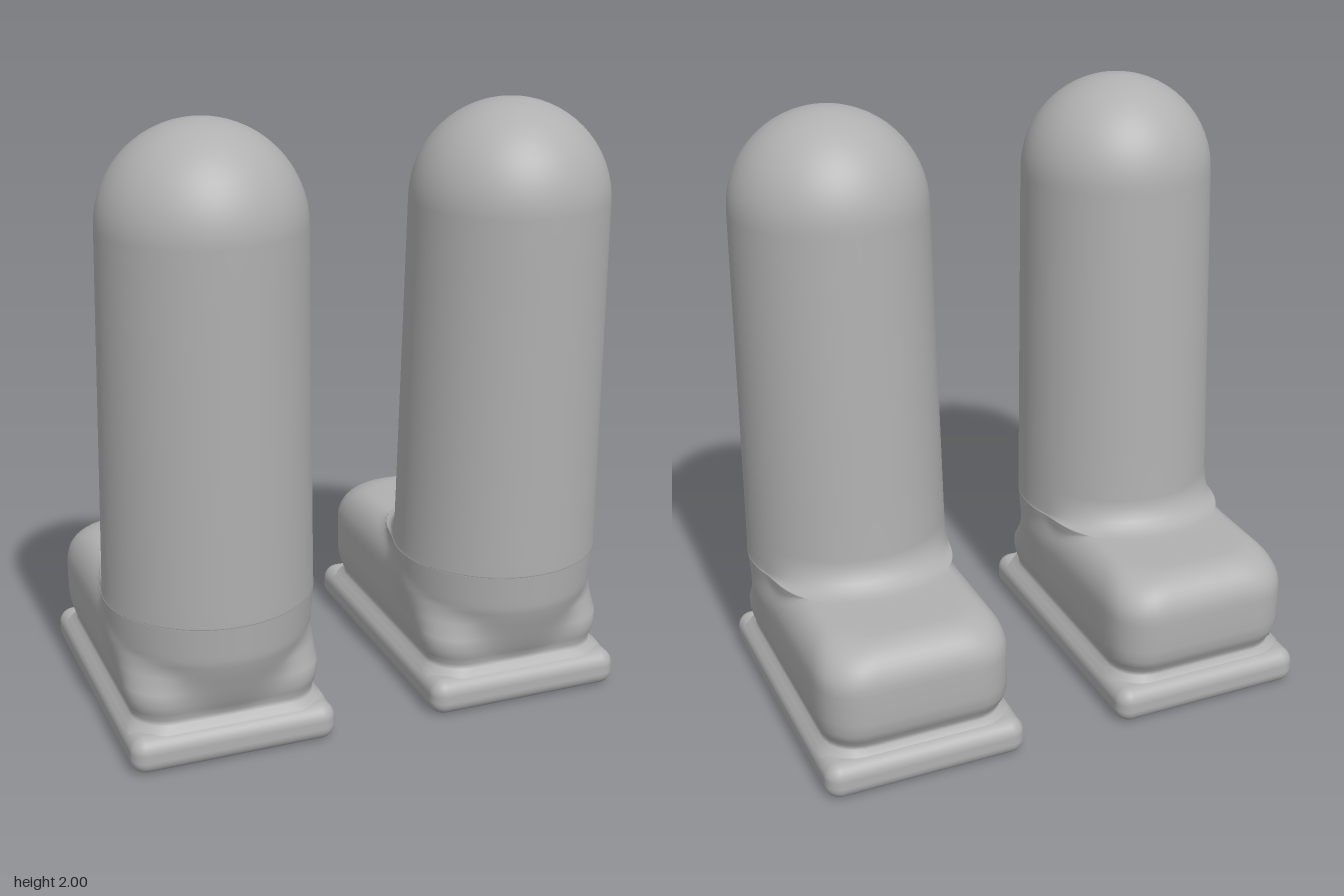
import * as THREE from 'three';
import { RoundedBoxGeometry } from 'three/addons/geometries/RoundedBoxGeometry.js';

const SIDES = 160;

// Signed distance to a section: round leg blended with a rounded foot rectangle
function sectionDistance(x, z, s) {
  const leg = Math.hypot(x, z - s.cz) - s.r;
  if (!s.foot) return leg;
  const { front, heel, hw, cr } = s.foot;
  const qx = Math.abs(x) - hw + cr;
  const qz = Math.abs(z - (front + heel) / 2) - (heel - front) / 2 + cr;
  const foot = Math.hypot(Math.max(qx, 0), Math.max(qz, 0)) + Math.min(Math.max(qx, qz), 0) - cr;
  const k = 0.04, h = Math.max(k - Math.abs(leg - foot), 0) / k;
  return Math.min(leg, foot) - h * h * k / 4;
}

// Distance from the leg axis to the section outline at one angle
function outlineRadius(angle, s) {
  const sx = Math.sin(angle), sz = Math.cos(angle);
  let lo = 0, hi = 1.2;
  for (let i = 0; i < 26; i++) {
    const mid = (lo + hi) / 2;
    if (sectionDistance(sx * mid, s.cz + sz * mid, s) < 0) lo = mid; else hi = mid;
  }
  // fillet between the instep and the shin
  const w = THREE.MathUtils.smoothstep(-sz, 0.3, 1);
  return Math.max(lo, s.r + (s.fillet || 0) * w);
}

function bootSections() {
  const list = [];
  const add = (y, cz, r, foot, fillet = 0) =>
    list.push({ y, cz, r, fillet, foot: foot && { front: foot[0], heel: foot[1], hw: foot[2], cr: foot[3] } });

  // welt, heel and foot sides
  add(0.11, 0.2, 0.2, [-0.53, 0.475, 0.33, 0.1]);
  add(0.125, 0.2, 0.2, [-0.52, 0.465, 0.32, 0.11]);
  add(0.14, 0.2, 0.21, [-0.505, 0.447, 0.305, 0.12]);
  add(0.155, 0.2, 0.22, [-0.505, 0.443, 0.302, 0.12]);
  add(0.18, 0.2, 0.245, [-0.523, 0.452, 0.31, 0.12]);
  add(0.21, 0.2, 0.268, [-0.537, 0.46, 0.318, 0.13]);
  add(0.25, 0.2, 0.29, [-0.541, 0.46, 0.322, 0.14]);
  add(0.3, 0.2, 0.31, [-0.541, 0.42, 0.323, 0.14]);
  add(0.35, 0.2, 0.328, [-0.541, 0.36, 0.323, 0.14]);

  // rounded top edge of the toe
  for (let i = 1; i <= 10; i++) {
    const a = i / 10 * Math.PI / 2;
    const y = 0.355 + 0.133 * Math.sin(a), d = 0.13 * (1 - Math.cos(a));
    const t = (y - 0.355) / 0.133;
    add(y, 0.2, 0.33 + 0.012 * t, [-0.541 + d, 0.35 - 0.1 * t, 0.323 - d * 0.75, 0.14], 0.08);
  }

  // flat instep
  for (const front of [-0.36, -0.3, -0.25]) add(0.489, 0.201, 0.341, [front, 0.25, 0.22, 0.12], 0.08);

  // fillet up to the shin
  for (let i = 0; i <= 6; i++) {
    const a = i / 6 * Math.PI / 2;
    add(0.49 + 0.1 * (1 - Math.cos(a)), 0.203 + 0.005 * i / 6, 0.341 - 0.003 * i / 6, null, 0.08 * (1 - Math.sin(a)));
  }

  // tapering shaft
  for (let i = 1; i <= 6; i++) {
    const t = i / 6;
    add(0.59 + 1.088 * t, 0.208 + 0.032 * t, 0.338 - 0.016 * t, null);
  }

  // domed top
  for (let i = 1; i <= 16; i++) {
    const a = i / 16 * Math.PI / 2;
    add(1.678 + 0.322 * Math.sin(a), 0.24, Math.max(0.322 * Math.cos(a), 0.0005), null);
  }
  return list;
}

function bootGeometry() {
  const positions = [], index = [];
  const sections = bootSections();
  sections.forEach((s, j) => {
    for (let i = 0; i < SIDES; i++) {
      const angle = i / SIDES * Math.PI * 2, r = outlineRadius(angle, s);
      positions.push(r * Math.sin(angle), s.y, s.cz + r * Math.cos(angle));
      if (j === 0) continue;
      const n = (i + 1) % SIDES, low = (j - 1) * SIDES, high = j * SIDES;
      index.push(low + i, low + n, high + n, low + i, high + n, high + i);
    }
  });
  const geometry = new THREE.BufferGeometry();
  geometry.setAttribute('position', new THREE.Float32BufferAttribute(positions, 3));
  geometry.setIndex(index);
  geometry.computeVertexNormals();
  return geometry;
}

export function createModel() {
  const model = new THREE.Group();
  model.name = 'boots';
  const grey = new THREE.MeshStandardMaterial({ color: 0xb0b0b0 });
  grey.name = 'grey';

  const upperGeometry = bootGeometry();
  const soleGeometry = new RoundedBoxGeometry(0.68, 0.125, 1.055, 6, 0.05);

  for (const side of [-1, 1]) {
    const boot = new THREE.Group();
    boot.name = side > 0 ? 'leftBoot' : 'rightBoot';
    boot.position.x = side * 0.511;

    const upper = new THREE.Mesh(upperGeometry, grey);
    upper.name = 'upper';

    const sole = new THREE.Mesh(soleGeometry, grey);
    sole.name = 'sole';
    sole.position.set(0, 0.0625, -0.032);

    boot.add(upper, sole);
    model.add(boot);
  }
  return model;
}
